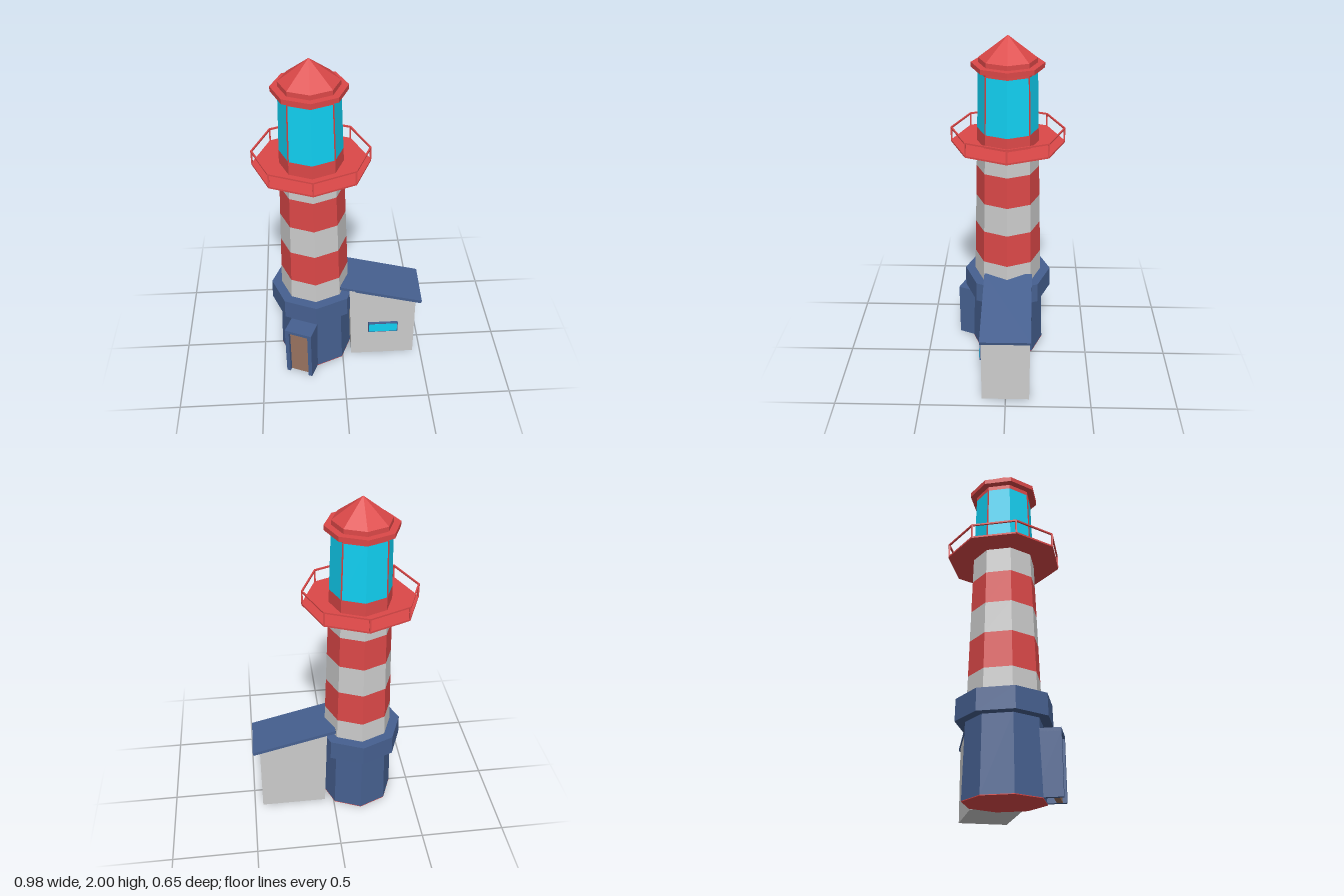
import * as THREE from 'three';

const mat = (color) => new THREE.MeshStandardMaterial({ color, flatShading: true });
const RED = mat(0xdc4848), GREY = mat(0xcccccc), NAVY = mat(0x466090);
const CYAN = mat(0x10d0f2), BROWN = mat(0x9a7460);
const TX = -0.163; // tower axis

function add(parent, name, geometry, material, x = 0, y = 0, z = 0) {
  const mesh = new THREE.Mesh(geometry, material);
  mesh.name = name;
  mesh.position.set(x, y, z);
  parent.add(mesh);
  return mesh;
}

// Eight-sided section between two heights
function octagon(parent, name, material, y0, y1, r0, r1) {
  return add(parent, name, new THREE.CylinderGeometry(r1, r0, y1 - y0, 8), material, 0, (y0 + y1) / 2, 0);
}

// Square bar joining two points
function bar(parent, name, a, b, size, material) {
  const mesh = add(parent, name, new THREE.BoxGeometry(size, size, a.distanceTo(b) + size * 0.4), material);
  mesh.position.copy(a).lerp(b, 0.5);
  mesh.lookAt(b);
  return mesh;
}

const ring = (i, r, y) => {
  const a = (i * Math.PI) / 4;
  return new THREE.Vector3(Math.sin(a) * r, y, Math.cos(a) * r);
};

function buildTower() {
  const tower = new THREE.Group();
  tower.name = 'tower';

  // Base and collar
  octagon(tower, 'baseUnderside', RED, 0, 0.004, 0.222, 0.222);
  octagon(tower, 'base', NAVY, 0.004, 0.415, 0.222, 0.21);
  octagon(tower, 'collar', NAVY, 0.412, 0.535, 0.265, 0.262);

  // Striped shaft and glazed lantern, one continuous taper
  const radius = (y) => 0.203 - (y - 0.535) * 0.0305;
  const levels = [0.535, 0.665, 0.87, 1.05, 1.24, 1.39, 1.475, 1.8, 1.827];
  const stripes = [GREY, RED, GREY, RED, GREY, RED, CYAN, RED];
  stripes.forEach((m, i) => {
    const name = m === CYAN ? 'lanternGlass' : 'shaftBand';
    octagon(tower, name, m, levels[i], levels[i + 1], radius(levels[i]), radius(levels[i + 1]));
  });

  // Glazing bars on the diagonal corners
  for (let i = 1; i < 8; i += 2) {
    bar(tower, 'glazingBar', ring(i, radius(1.475) - 0.001, 1.475), ring(i, radius(1.8) - 0.001, 1.8), 0.007, RED);
  }

  // Lantern roof
  octagon(tower, 'roofRim', RED, 1.825, 1.852, 0.202, 0.202);
  octagon(tower, 'roofNeck', RED, 1.852, 1.878, 0.163, 0.162);
  add(tower, 'roofCone', new THREE.ConeGeometry(0.162, 0.122, 8), RED, 0, 1.939, 0);

  // Gallery floor and railing
  octagon(tower, 'galleryFloor', RED, 1.387, 1.397, 0.325, 0.325);
  for (let i = 0; i < 8; i++) {
    bar(tower, 'handrail', ring(i, 0.321, 1.471), ring(i + 1, 0.321, 1.471), 0.009, RED);
    bar(tower, 'railPost', ring(i, 0.321, 1.395), ring(i, 0.321, 1.469), 0.009, RED);
  }
  return tower;
}

// Porch with a recessed door, set on the face right of the front corner
function buildPorch() {
  const porch = new THREE.Group();
  porch.name = 'porch';
  for (const s of [-1, 1]) {
    add(porch, 'jamb', new THREE.BoxGeometry(0.024, 0.335, 0.145), NAVY, s * 0.072, 0.1725, 0.2325);
  }
  add(porch, 'lintel', new THREE.BoxGeometry(0.168, 0.02, 0.145), NAVY, 0, 0.345, 0.2325);
  add(porch, 'door', new THREE.BoxGeometry(0.122, 0.33, 0.03), BROWN, 0, 0.17, 0.268);
  porch.rotation.y = -Math.PI / 8;
  return porch;
}

function buildShed() {
  const shed = new THREE.Group();
  shed.name = 'shed';

  // Walls with a sloping top
  const side = new THREE.Shape([[0.055, 0.01], [0.45, 0.01], [0.446, 0.447], [0.04, 0.555]]
    .map(([x, y]) => new THREE.Vector2(x, y)));
  const walls = new THREE.ExtrudeGeometry(side, { depth: 0.28, bevelEnabled: false });
  add(shed, 'walls', walls, GREY, 0, 0, -0.14);

  // Slightly crooked lean-to roof
  const roof = add(shed, 'leanToRoof', new THREE.BoxGeometry(0.515, 0.02, 0.289), NAVY, 0.235, 0.511, -0.002);
  roof.rotation.set(0.02, -0.02, -0.258);

  // Window
  add(shed, 'windowFrame', new THREE.BoxGeometry(0.184, 0.072, 0.02), NAVY, 0.251, 0.246, 0.145);
  add(shed, 'windowPane', new THREE.BoxGeometry(0.174, 0.062, 0.004), CYAN, 0.251, 0.246, 0.1545);
  return shed;
}

export function createModel() {
  const model = new THREE.Group();
  model.name = 'lighthouse';
  const tower = buildTower();
  tower.add(buildPorch());
  tower.position.x = TX;
  model.add(tower, buildShed());
  return model;
}
